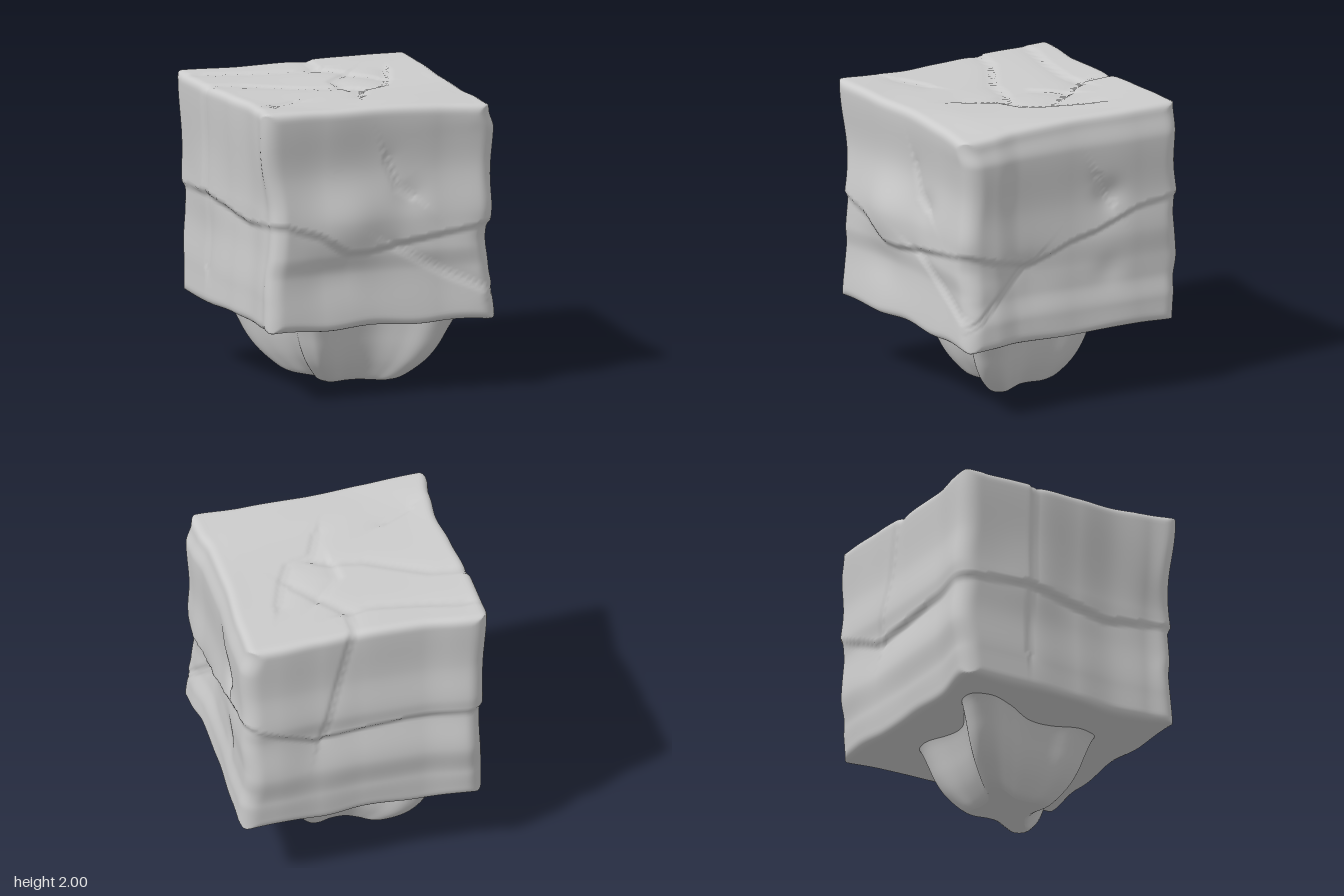
import * as THREE from 'three';
import { mergeVertices } from 'three/addons/utils/BufferGeometryUtils.js';

const { smoothstep: smooth, clamp } = THREE.MathUtils;

// interpolation through [position, value] pairs, eased or straight
function curveAt(points, t, eased) {
  if (t <= points[0][0]) return points[0][1];
  for (let i = 1; i < points.length; i++) {
    const [a, va] = points[i - 1], [b, vb] = points[i];
    if (t <= b) return va + (vb - va) * (eased ? smooth(t, a, b) : (t - a) / (b - a));
  }
  return points[points.length - 1][1];
}

// narrow groove with a soft hollow on one side of a polyline
function groove(points, u, v, depth) {
  let best = Infinity, side = 1;
  for (let i = 1; i < points.length; i++) {
    const [ax, ay] = points[i - 1], [bx, by] = points[i];
    const dx = bx - ax, dy = by - ay;
    const t = clamp(((u - ax) * dx + (v - ay) * dy) / (dx * dx + dy * dy), 0, 1);
    const d = Math.hypot(u - ax - t * dx, v - ay - t * dy);
    if (d < best) {
      best = d;
      side = dx * (v - ay) - dy * (u - ax);
    }
  }
  const hollow = side > 0 ? Math.exp(-best / 0.07) * smooth(best, 0, 0.03) : 0;
  return -depth * Math.max(0.6 * Math.exp(-((best / 0.02) ** 2)), hollow);
}

// Each side: outline by height, plan by width, soft dents and bumps
// [u, y, radius, height], ledge line around the block, cracks
const sides = {
  front: {
    outline: [[0.5, 0.01], [0.85, -0.01], [1.0, 0.01], [1.2, 0.01], [1.55, -0.02], [1.95, 0.015]],
    plan: [[-0.8, 0], [-0.4, -0.02], [0, -0.045], [0.4, -0.03], [0.75, 0]],
    dents: [[-0.2, 1.2, 0.25, 0.06], [-0.35, 0.88, 0.2, -0.03], [0.2, 1.35, 0.12, -0.015], [0.8, 1.03, 0.15, -0.03]],
    ledge: [[-0.85, 1.23], [-0.7, 1.22], [-0.45, 1.15], [-0.25, 1.02], [-0.1, 1.02], [0.75, 1.15]],
    cracks: [[[0.1, 1.02], [0.45, 0.82], [0.85, 0.65]], [[0.05, 1.6], [0.12, 1.42], [0.22, 1.35]]],
  },
  back: {
    outline: [[0.5, -0.015], [0.7, 0], [0.92, 0.035], [1.2, 0.01], [1.33, 0.025], [1.6, 0.005], [1.95, 0.02]],
    plan: [[-0.75, 0], [-0.4, -0.045], [0, -0.04], [0.3, -0.02], [0.6, 0]],
    dents: [[0.35, 1.0, 0.2, -0.02]],
    ledge: [[-0.85, 1.22], [-0.3, 1.22], [0.35, 1.17], [0.85, 1.37]],
    cracks: [[[0.3, 1.17], [0.18, 1.6], [0.07, 2.05]]],
  },
  right: {
    outline: [[0.5, 0.015], [0.65, 0.01], [0.82, -0.015], [0.95, -0.015], [1.15, 0.0], [1.4, -0.01], [1.77, 0.01], [1.95, -0.03]],
    plan: [[-0.8, 0.01], [-0.5, 0], [0, -0.035], [0.4, -0.04], [0.6, -0.015], [0.8, -0.01]],
    dents: [[0.3, 0.9, 0.2, -0.02], [-0.3, 1.42, 0.1, -0.03], [-0.3, 0.9, 0.1, -0.015], [0.8, 1.05, 0.15, -0.03]],
    ledge: [[-0.85, 1.37], [-0.5, 1.32], [-0.2, 1.2], [0, 1.15], [0.3, 1.03], [0.8, 1.15]],
    cracks: [[[0.85, 0.62], [0.6, 0.8], [0.33, 1.03]], [[-0.22, 1.55], [-0.32, 1.38]]],
  },
  left: {
    outline: [[0.5, 0.005], [0.7, 0.0], [1.0, -0.015], [1.3, 0.0], [1.95, 0.035]],
    plan: [[-0.7, 0], [-0.3, 0], [0.07, -0.03], [0.35, -0.055], [0.6, -0.035], [0.8, 0]],
    dents: [[-0.3, 1.3, 0.25, 0.02], [0.8, 1.27, 0.25, -0.04]],
    ledge: [[-0.85, 1.22], [-0.3, 1.26], [0.3, 1.17], [0.85, 1.23]],
    cracks: [[[-0.3, 2.05], [-0.3, 1.3], [-0.32, 0.75]]],
  },
};
const topCracks = [
  [[-0.9, -0.32], [-0.6, -0.25], [-0.2, -0.02], [0, 0.02], [0.1, 0.06]],
  [[0.07, -0.9], [0.05, -0.55], [0.18, -0.38], [0.33, -0.17]],
  [[-0.7, -0.64], [-0.4, -0.57], [-0.1, -0.52], [0.05, -0.55]],
  [[0.48, -0.35], [0.39, -0.1], [0.3, 0.08], [0.12, 0.15], [0.03, 0.36]],
  [[0, 0.02], [0, -0.15], [0.18, -0.35]],
  [[-0.65, 0.46], [-0.45, 0.36]],
];

// outward offset of an upright side; u runs along x or z
function sideOffset({ outline, plan, dents, ledge, cracks }, u, y) {
  const middle = Math.cos(clamp(u / 0.8, -1, 1) * Math.PI / 2) ** 2;
  const below = curveAt(ledge, u, false) - y;
  let h = curveAt(outline, y, true) + curveAt(plan, u, true);
  h += below > 0
    ? -(0.01 + 0.025 * middle) * Math.exp(-below / 0.18) * smooth(below, 0, 0.04)
    : 0.008 * Math.exp(below / 0.12);
  for (const [du, dy, r, d] of dents) h += d * Math.exp(-((u - du) ** 2 + (y - dy) ** 2) / (r * r));
  for (const c of cracks) h += groove(c, u, y, 0.022);
  return h;
}

function topOffset(x, z) {
  let h = 0.005 - 0.025 * Math.cos(x * 1.8) * Math.cos(z * 1.8) + 0.006 * Math.sin(x * 4 + 1);
  h -= 0.025 * smooth(x + z, 0.7, 1.6) + 0.01 * smooth(z, 0.5, 0.85) * smooth(x, -0.6, 0);
  h += 0.012 * smooth(z - x, 1.0, 1.5);
  for (const c of topCracks) h += groove(c, x, z, 0.02);
  return h;
}

const bottomOffset = (x, z) => 0.012 * Math.sin(x * 10 - 1) * Math.cos(z * 7);

// Weathered stone block: finely divided box, rounded, then pushed out and in
function makeBlock() {
  const half = new THREE.Vector3(0.825, 0.75, 0.825), centreY = 1.235, r = 0.055, corner = 0.12;
  let geo = new THREE.BoxGeometry(half.x * 2, half.y * 2, half.z * 2, 80, 80, 80);
  geo.deleteAttribute('normal');
  geo.deleteAttribute('uv');
  geo = mergeVertices(geo);
  const pos = geo.attributes.position;
  const p = new THREE.Vector3(), inner = new THREE.Vector3();
  const hi = half.clone().subScalar(r), lo = hi.clone().negate();
  const near = (value, limit) => smooth(value, limit - 0.25, limit - r);
  for (let i = 0; i < pos.count; i++) {
    p.fromBufferAttribute(pos, i);
    inner.copy(p).clamp(lo, hi);
    p.sub(inner).setLength(r).add(inner);
    // wider rounding of the upright edges
    const edge = half.x - corner, cx = clamp(p.x, -edge, edge), cz = clamp(p.z, -edge, edge);
    const k = Math.min(1, corner / Math.max(1e-6, Math.hypot(p.x - cx, p.z - cz)));
    const x = cx + (p.x - cx) * k, z = cz + (p.z - cz) * k, y = p.y + centreY;
    const push = (weight, fn) => (weight > 0 ? weight * fn() : 0);
    const dx = push(near(x, half.x), () => sideOffset(sides.right, z, y))
      - push(near(-x, half.x), () => sideOffset(sides.left, z, y));
    const dz = push(near(z, half.z), () => sideOffset(sides.front, x, y))
      - push(near(-z, half.z), () => sideOffset(sides.back, x, y));
    const dy = push(near(p.y, half.y), () => topOffset(x, z))
      - push(near(-p.y, half.y), () => bottomOffset(x, z));
    pos.setXYZ(i, x + dx, y + dy, z + dz);
  }
  geo.computeVertexNormals();
  return geo;
}

// Foot: four rounded arms towards the corners, two long and two short, tapering down
function makeFoot() {
  const halfPlan = [[-0.4, 0.37], [-0.36, 0.43], [-0.27, 0.44], [-0.1, 0.39], [0.1, 0.39], [0.28, 0.48],
    [0.43, 0.58], [0.55, 0.58], [0.61, 0.47], [0.52, 0.28], [0.41, 0.08], [0.4, -0.1], [0.43, -0.27]];
  const plan = [...halfPlan, ...halfPlan.map(([x, z]) => [-x, -z])];
  const loop = new THREE.CatmullRomCurve3(plan.map(([x, z]) => new THREE.Vector3(x, 0, z)), true);
  const n = 144, outline = loop.getPoints(n).slice(0, n);
  const profile = new THREE.SplineCurve([[1.12, 0.54], [1.03, 0.47], [0.95, 0.37], [0.87, 0.26], [0.78, 0.17],
    [0.68, 0.1], [0.55, 0.03], [0.46, 0.004], [0.4, 0], [0.15, 0], [0, 0]].map(([s, y]) => new THREE.Vector2(s, y)));
  const rows = 40, verts = [], index = [];
  for (let j = 0; j <= rows; j++) {
    const { x: s, y } = profile.getPoint(j / rows);
    for (const q of outline) verts.push(0.02 + q.x * s, Math.max(0, y), q.z * s);
  }
  for (let j = 0; j < rows; j++) {
    for (let i = 0; i < n; i++) {
      const a = j * n + i, b = j * n + (i + 1) % n;
      index.push(a, a + n, b, b, a + n, b + n);
    }
  }
  const geo = new THREE.BufferGeometry();
  geo.setAttribute('position', new THREE.Float32BufferAttribute(verts, 3));
  geo.setIndex(index);
  geo.computeVertexNormals();
  return geo;
}

export function createModel() {
  const group = new THREE.Group();
  const add = (name, geometry, side) => {
    const mesh = new THREE.Mesh(geometry, new THREE.MeshStandardMaterial({ color: 0xcccccc, side }));
    mesh.name = name;
    group.add(mesh);
  };
  add('stoneBlock', makeBlock(), THREE.FrontSide);
  add('foot', makeFoot(), THREE.DoubleSide);
  return group;
}
